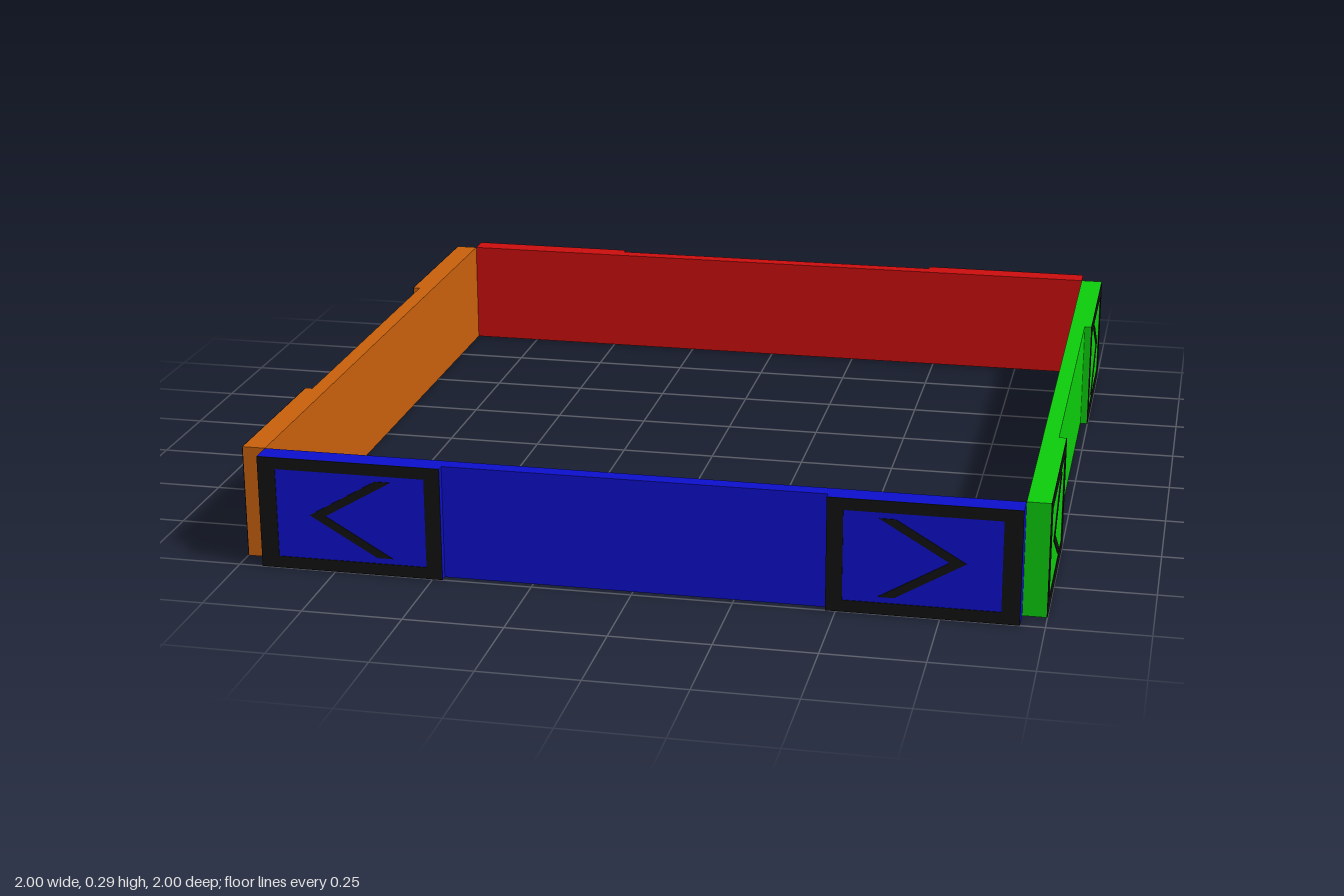
import * as THREE from 'three';

const HEIGHT = 0.29;
const END = 0.94;      // half length of a wall
const PAD = 0.475;     // where the raised end pads begin
const INNER = 0.94, FACE = 0.98, OUTER = 1.0;
const SKIN = 0.002;    // thickness of the black markings

const material = (color) => new THREE.MeshStandardMaterial({ color, flatShading: true });

function polygon(points) {
  return new THREE.Shape(points.map(([x, y]) => new THREE.Vector2(x, y)));
}

const rectangle = (x0, y0, x1, y1) => [[x0, y0], [x1, y0], [x1, y1], [x0, y1]];

function extrude(shape, depth) {
  return new THREE.ExtrudeGeometry(shape, { depth, bevelEnabled: false });
}

// Plan outline of one wall with its two thicker ends, raised to full height
function wallGeometry() {
  const pad = OUTER - SKIN;
  const plan = polygon([
    [-END, -INNER], [-END, -pad], [-PAD, -pad], [-PAD, -FACE],
    [PAD, -FACE], [PAD, -pad], [END, -pad], [END, -INNER],
  ]);
  return extrude(plan, HEIGHT).rotateX(-Math.PI / 2);
}

// Rectangular border around an end pad
function frameGeometry() {
  const shape = polygon(rectangle(PAD, 0, END, HEIGHT));
  shape.holes.push(polygon(rectangle(0.515, 0.03, 0.895, 0.26)));
  return extrude(shape, SKIN).translate(0, 0, OUTER - SKIN);
}

// Chevron pointing outwards, towards the corner
function arrowGeometry() {
  const mid = HEIGHT / 2, rise = 0.1;
  const shape = polygon([
    [0.81, mid], [0.64, mid + rise], [0.6, mid + rise],
    [0.77, mid], [0.6, mid - rise], [0.64, mid - rise],
  ]);
  return extrude(shape, SKIN).translate(0, 0, OUTER - SKIN);
}

export function createModel() {
  const model = new THREE.Group();
  model.name = 'squareBorder';

  const black = material(0x121212);
  const wall = wallGeometry();
  const markings = { Frame: frameGeometry(), Arrow: arrowGeometry() };

  // Four walls around the square: front, left, back, right
  const sides = [
    ['front', 0x0c10cc], ['left', 0x0ccc0c], ['back', 0xcc0e0e], ['right', 0xc8600c],
  ];
  sides.forEach(([name, color], i) => {
    const side = new THREE.Group();
    side.name = name + 'Side';
    side.rotation.y = i * Math.PI / 2;

    const body = new THREE.Mesh(wall, material(color));
    body.name = name + 'Wall';
    side.add(body);

    // A half turn about the wall's own upright axis puts the markings on the other end
    for (const end of [1, -1]) {
      for (const [part, geometry] of Object.entries(markings)) {
        const mark = new THREE.Mesh(geometry, black);
        mark.name = name + part;
        if (end < 0) {
          mark.rotation.z = Math.PI;
          mark.position.y = HEIGHT;
        }
        side.add(mark);
      }
    }
    model.add(side);
  });
  return model;
}
